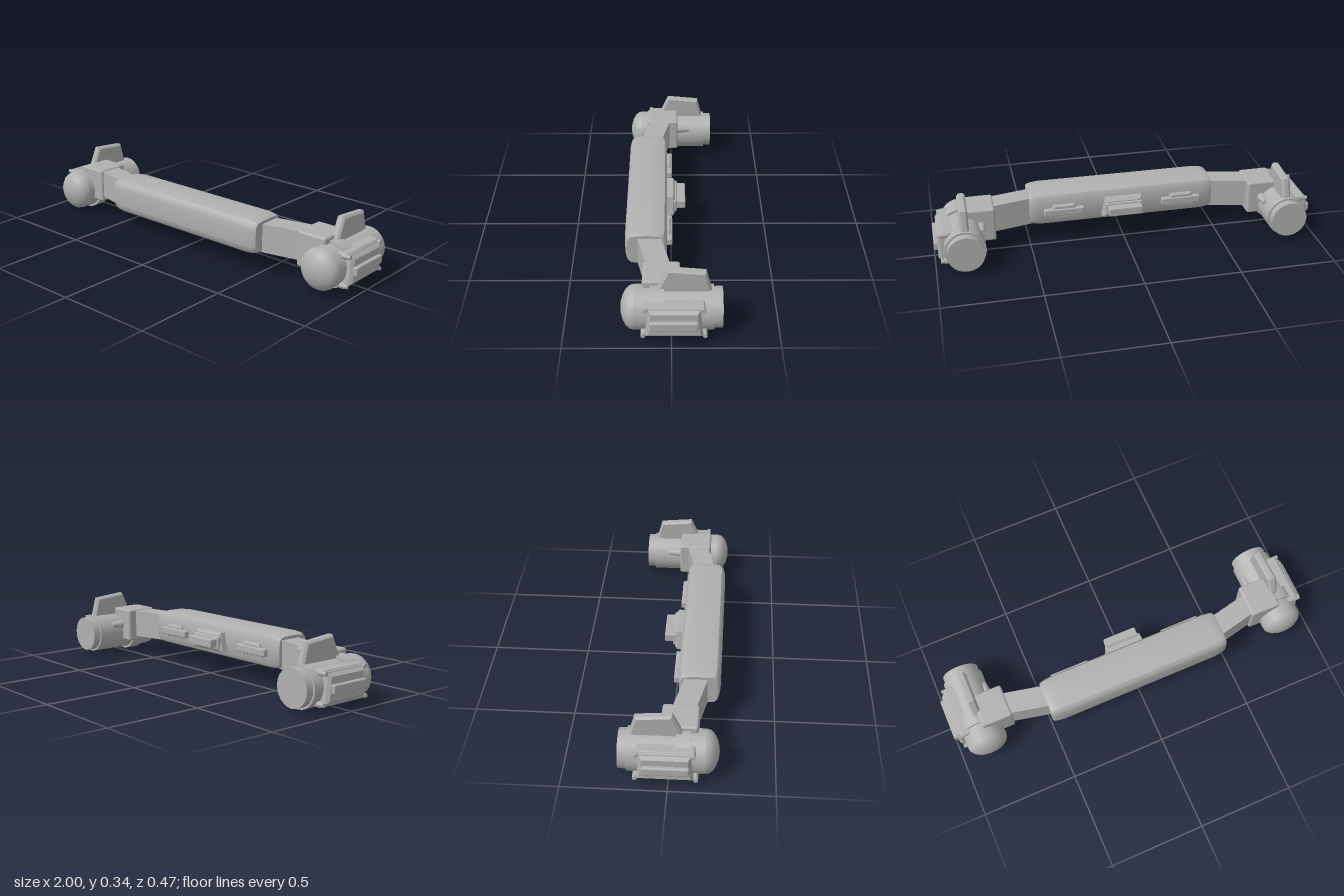
import * as THREE from 'three';
import { toCreasedNormals } from 'three/addons/utils/BufferGeometryUtils.js';
import { RoundedBoxGeometry } from 'three/addons/geometries/RoundedBoxGeometry.js';

const hull = new THREE.MeshStandardMaterial({ color: 0xb0b0b0 });
hull.name = 'hull grey';

function add(parent, name, geometry, x = 0, y = 0, z = 0) {
  const mesh = new THREE.Mesh(geometry, hull);
  mesh.name = name;
  mesh.position.set(x, y, z);
  parent.add(mesh);
  return mesh;
}

const rounded = (w, h, d, r) => new RoundedBoxGeometry(w, h, d, 2, r);

// Cylinder lying along z; r1 is the front radius
const zCylinder = (r1, r2, length, sides = 40) =>
  new THREE.CylinderGeometry(r1, r2, length, sides).rotateX(Math.PI / 2);

// Bevelled plate, total thickness t, centred on its own depth axis
function plate(points, t, bevel) {
  const shape = new THREE.Shape(points.map(p => new THREE.Vector2(...p)));
  const depth = t - 2 * bevel;
  return new THREE.ExtrudeGeometry(shape, {
    depth, bevelEnabled: true, bevelSize: bevel, bevelOffset: -bevel,
    bevelThickness: bevel, bevelSegments: 1,
  }).translate(0, 0, -depth / 2);
}

// Plate outlined in (z, y) with its thickness along x
const sidePlate = (points, t, bevel) => plate(points, t, bevel).rotateY(-Math.PI / 2);

// Central bar: one rounded section lofted along x and narrowed at the ends
function barGeometry() {
  const cy = 0.183, cz = 0.122;
  const upper = [[0.227, 0.2], [0.226, 0.23], [0.221, 0.253], [0.207, 0.268], [0.17, 0.273],
    [0.11, 0.274], [0.06, 0.272], [0.032, 0.264], [0.02, 0.245]];
  const ring = [...upper, ...upper.slice().reverse().map(([z, y]) => [z, 2 * cy - y])];
  const half = [[0.43, 1], [0.465, 0.965], [0.484, 0.925], [0.493, 0.88]];
  const stations = [...half.slice().reverse().map(([x, s]) => [-x, s]), ...half];
  const n = ring.length, pos = [], index = [];
  for (const [x, s] of stations)
    for (const [z, y] of ring) pos.push(x, cy + (y - cy) * s, cz + (z - cz) * s);
  for (let i = 0; i < stations.length - 1; i++)
    for (let j = 0; j < n; j++) {
      const k = (j + 1) % n, a = i * n + j, b = i * n + k;
      index.push(a, a + n, b + n, a, b + n, b);
    }
  const last = (stations.length - 1) * n;
  for (let k = 1; k < n - 1; k++) {
    index.push(0, k, k + 1);
    index.push(last, last + k + 1, last + k);
  }
  const g = new THREE.BufferGeometry();
  g.setAttribute('position', new THREE.Float32BufferAttribute(pos, 3));
  g.setIndex(index);
  return toCreasedNormals(g, 0.65);
}

// Arm swept back towards the pod
function armGeometry(s) {
  const g = new THREE.BoxGeometry(0.24, 0.148, 0.115);
  const p = g.attributes.position;
  for (let i = 0; i < p.count; i++) p.setZ(i, p.getZ(i) - 0.22 * s * p.getX(i));
  g.computeVertexNormals();
  return g;
}

function buildPod(s) {
  const pod = new THREE.Group();
  pod.name = s > 0 ? 'leftPod' : 'rightPod';
  const cx = 0.847 * s, cy = 0.117;

  // Barrel, domed nose, tail cap and clamp band
  add(pod, 'barrel', zCylinder(0.105, 0.105, 0.367), cx, cy, -0.0115);
  const profile = [[0.105, 0], [0.101, 0.02], [0.085, 0.039], [0.06, 0.053], [0.03, 0.062], [0, 0.065]]
    .map(p => new THREE.Vector2(...p));
  add(pod, 'noseDome', new THREE.LatheGeometry(profile, 40).rotateX(Math.PI / 2), cx, cy, 0.17);
  add(pod, 'tailCap', zCylinder(0.095, 0.095, 0.05), cx, cy, -0.21);
  add(pod, 'clampBand', zCylinder(0.117, 0.117, 0.067), cx, cy, 0.066);

  // Upright fin
  add(pod, 'fin', sidePlate([[0.067, 0.2], [0.065, 0.228], [0.016, 0.336], [-0.157, 0.32],
    [-0.183, 0.222], [-0.183, 0.2]], 0.044, 0.01), 0.843 * s);

  // Outer panel with raised bar
  add(pod, 'sidePanel', sidePlate([[0.12, 0.048], [0.105, 0.19], [-0.13, 0.19], [-0.145, 0.048]],
    0.09, 0.014), 0.937 * s);
  add(pod, 'panelBar', rounded(0.06, 0.046, 0.22, 0.008), 0.97 * s, 0.118, -0.01);

  // Ledges and rods with knobs above and below the panel
  for (const [y, front, back] of [[0.19, 0.117, -0.142], [0.047, 0.13, -0.153]]) {
    const mid = (front + back) / 2, length = front - back;
    add(pod, 'ledge', rounded(0.07, 0.03, length + 0.015, 0.008), 0.922 * s, y, mid);
    add(pod, 'rod', zCylinder(0.009, 0.009, length, 10), 0.955 * s, y, mid);
    for (const z of [front, back])
      add(pod, 'rodKnob', new THREE.CylinderGeometry(0.011, 0.011, 0.045, 8).rotateZ(Math.PI / 2),
        0.95 * s, y, z);
  }

  // Mounting block, inner fairing and arm
  add(pod, 'mountingBlock', rounded(0.162, 0.182, 0.176, 0.012), 0.76 * s, 0.164, 0.047);
  add(pod, 'innerFairing', zCylinder(0.028, 0.014, 0.1, 16), 0.755 * s, 0.165, -0.06);
  add(pod, 'arm', armGeometry(s), 0.588 * s, 0.173, 0.085);
  return pod;
}

export function createModel() {
  const model = new THREE.Group();
  model.name = 'twinPodBar';
  add(model, 'centralBar', barGeometry());

  // Central rear housing
  const housing = new THREE.Group();
  housing.name = 'rearHousing';
  add(housing, 'housingBase', plate([[-0.115, 0.13], [0.115, 0.13], [0.095, 0.23], [-0.095, 0.23]],
    0.06, 0.012), 0, 0, 0.008);
  add(housing, 'housingRim', rounded(0.2, 0.07, 0.04, 0.008), 0, 0.178, -0.012);
  add(housing, 'housingBlock', rounded(0.18, 0.045, 0.06, 0.006), 0, 0.18, -0.045);
  model.add(housing);

  // Rear vents either side of the housing
  for (const s of [-1, 1]) {
    const vent = new THREE.Group();
    vent.name = s > 0 ? 'leftVent' : 'rightVent';
    add(vent, 'ventBar', rounded(0.21, 0.038, 0.04, 0.006), 0, 0.175, 0.014);
    add(vent, 'ventHood', plate([[-0.07, 0.18], [0.07, 0.18], [0.055, 0.213], [-0.055, 0.213]],
      0.03, 0.006), 0, 0, 0.016);
    for (let i = -3; i <= 3; i++)
      add(vent, 'ventTooth', new THREE.BoxGeometry(0.012, 0.016, 0.02), i * 0.022, 0.15, 0.018);
    vent.position.x = 0.315 * s;
    model.add(vent);
    model.add(buildPod(s));
  }
  return model;
}
